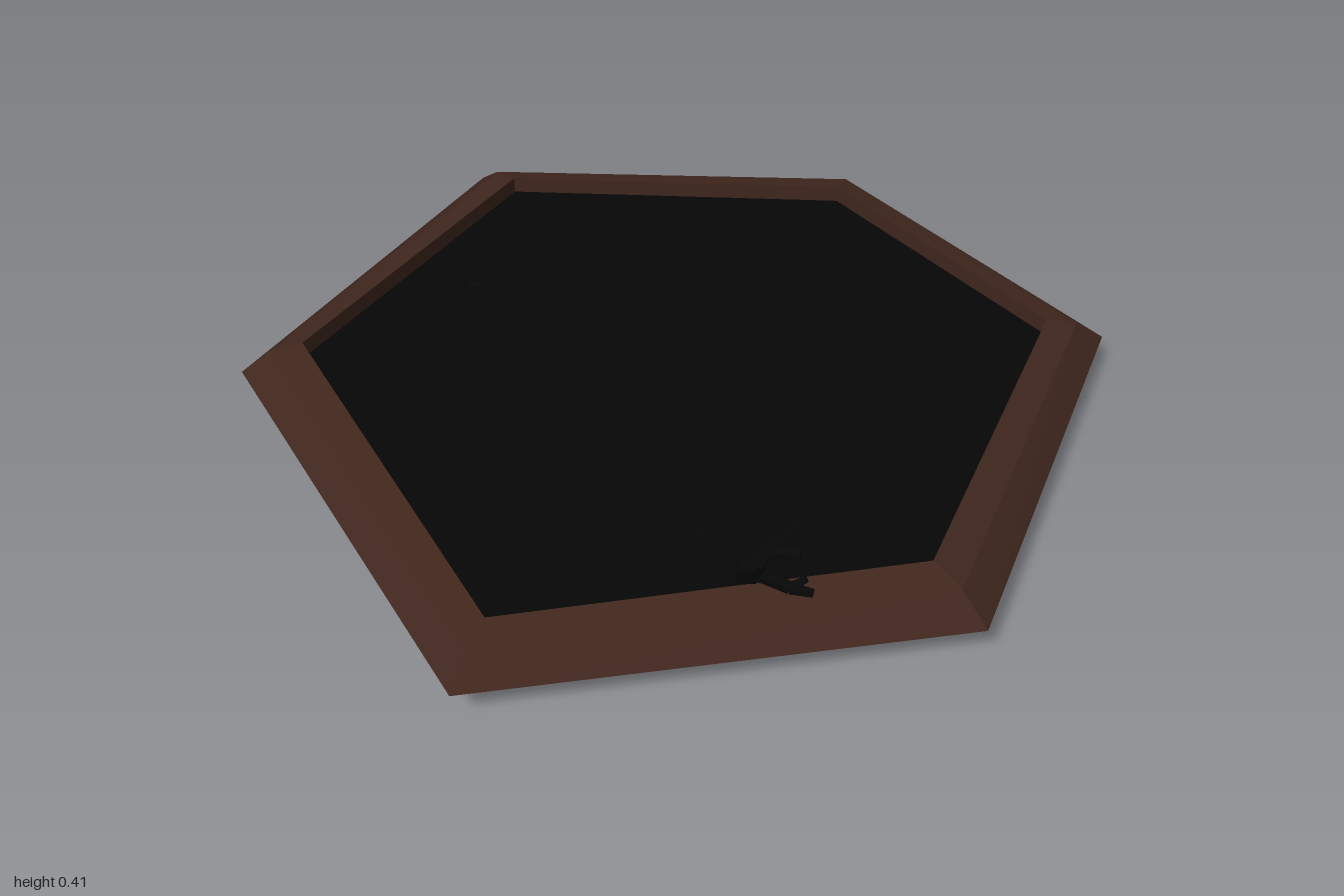
import * as THREE from 'three';

const flat = (name, color) => {
  const m = new THREE.MeshStandardMaterial({ color, flatShading: true });
  m.name = name;
  return m;
};

// Irregular hexagon corners [x, z]
const outer = [[-0.1, -1], [0.76, -0.52], [0.91, 0.34], [0.12, 1], [-0.845, 0.685], [-0.91, -0.45]];
const inner = [[-0.07, -0.85], [0.65, -0.425], [0.77, 0.3], [0.09, 0.85], [-0.735, 0.595], [-0.775, -0.4]];
const ring = (t, y) => outer.map(([x, z], i) => [
  x + (inner[i][0] - x) * t, y, z + (inner[i][1] - z) * t,
]);

function toGeometry(triangles) {
  const g = new THREE.BufferGeometry();
  g.setAttribute('position', new THREE.Float32BufferAttribute(triangles.flat(2), 3));
  g.computeVertexNormals();
  return g;
}

// Joins successive rings with quads
function loft(rings) {
  const tris = [];
  for (let r = 0; r < rings.length - 1; r++) {
    const a = rings[r], b = rings[r + 1];
    a.forEach((p, i) => {
      const j = (i + 1) % a.length;
      tris.push([p, b[i], a[j]], [a[j], b[i], b[j]]);
    });
  }
  return toGeometry(tris);
}

// Fills a ring with a fan, facing up or down
function cap(points, up) {
  const c = [0, points[0][1], 0];
  return toGeometry(points.map((p, i) => {
    const q = points[(i + 1) % points.length];
    return up ? [c, q, p] : [c, p, q];
  }));
}

// Tapered limb through points given as [x, y, z, radius]
function limb(name, points, material, sides = 5) {
  const group = new THREE.Group();
  group.name = name;
  for (let i = 0; i < points.length - 1; i++) {
    const a = new THREE.Vector3(...points[i].slice(0, 3));
    const b = new THREE.Vector3(...points[i + 1].slice(0, 3));
    const dir = b.clone().sub(a);
    const mesh = new THREE.Mesh(
      new THREE.CylinderGeometry(points[i + 1][3], points[i][3], dir.length(), sides), material);
    mesh.position.copy(a).add(b).multiplyScalar(0.5);
    mesh.quaternion.setFromUnitVectors(new THREE.Vector3(0, 1, 0), dir.normalize());
    mesh.name = `${name}Section`;
    group.add(mesh);
  }
  return group;
}

export function createModel() {
  const model = new THREE.Group();
  model.name = 'tarPit';
  const earth = flat('earthBrown', 0x40271e);
  const tar = flat('tarBlack', 0x060606);
  const bark = flat('charredBark', 0x070707);

  const add = (name, geometry, material) => {
    const mesh = new THREE.Mesh(geometry, material);
    mesh.name = name;
    model.add(mesh);
  };

  // Sloping bank with an upright inner wall, recessed pool and underside
  add('bank', loft([ring(0, 0.086), ring(0.48, 0.138), ring(1, 0.155), ring(1, 0.1)]), earth);
  add('pool', cap(ring(1, 0.115), true), tar);
  add('underside', cap(ring(0, 0.086), false), tar);

  // Dead branch leaning over the front bank
  const branch = new THREE.Group();
  branch.name = 'deadBranch';
  branch.add(
    limb('trunk', [[-0.2, 0.03, 0.622, 0.044], [-0.225, 0.1, 0.675, 0.026],
      [-0.268, 0.23, 0.78, 0.021], [-0.318, 0.355, 0.872, 0.021]], bark, 6),
    limb('topTwig', [[-0.335, 0.345, 0.872, 0.019], [-0.27, 0.38, 0.87, 0.013], [-0.22, 0.408, 0.865, 0.009]], bark),
    limb('topFork', [[-0.295, 0.362, 0.872, 0.013], [-0.25, 0.366, 0.912, 0.009]], bark),
    limb('topStub', [[-0.315, 0.35, 0.87, 0.016], [-0.347, 0.342, 0.878, 0.011]], bark),
    limb('rightTwig', [[-0.285, 0.265, 0.8, 0.016], [-0.345, 0.308, 0.762, 0.013], [-0.393, 0.343, 0.73, 0.009]], bark),
    limb('rightFork', [[-0.35, 0.312, 0.76, 0.01], [-0.39, 0.31, 0.765, 0.007]], bark),
    limb('rightSpur', [[-0.35, 0.312, 0.76, 0.01], [-0.36, 0.345, 0.735, 0.007]], bark),
    limb('leftTwig', [[-0.268, 0.23, 0.79, 0.016], [-0.225, 0.215, 0.84, 0.013], [-0.193, 0.213, 0.87, 0.009]], bark),
    limb('leftFork', [[-0.225, 0.215, 0.84, 0.01], [-0.2, 0.238, 0.855, 0.007]], bark),
  );
  model.add(branch);

  // Thin branch lying nearly sunk in the pool
  const sunken = new THREE.Group();
  sunken.name = 'sunkenBranch';
  sunken.add(
    limb('sunkenStem', [[-0.56, 0.112, -0.385, 0.004], [-0.33, 0.113, -0.525, 0.007],
      [-0.1, 0.114, -0.68, 0.004]], bark),
    limb('sunkenHook', [[-0.33, 0.113, -0.525, 0.008], [-0.31, 0.114, -0.48, 0.009],
      [-0.36, 0.114, -0.445, 0.008], [-0.43, 0.114, -0.46, 0.005]], bark),
  );
  model.add(sunken);

  return model;
}
